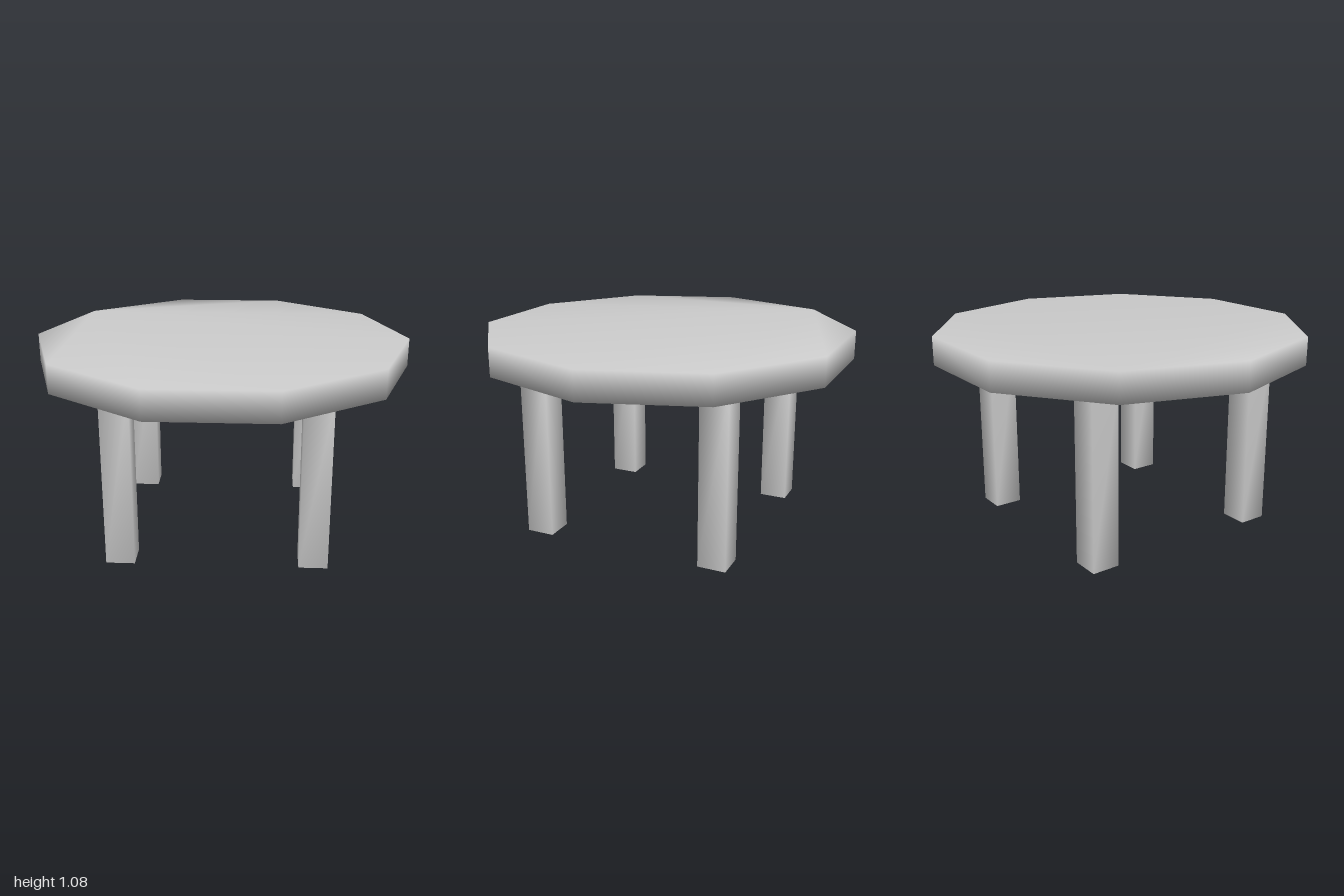
import * as THREE from 'three';
import { mergeVertices } from 'three/addons/utils/BufferGeometryUtils.js';

const SIDES = 10, TOP_Y = 1.075, UNDER_Y = 0.925;
const LEG_SIZE = 0.15, LEG_OFFSET = 0.5;

// Ten-sided slab with shared corners, so its normals blend across the rim
function slabGeometry() {
  const points = [], index = [];
  for (const y of [UNDER_Y, TOP_Y]) {
    for (let i = 0; i < SIDES; i++) {
      const a = (i / SIDES) * Math.PI * 2;
      points.push(Math.cos(a), y, Math.sin(a));
    }
  }
  const fan = 6; // corner from which both caps fan out
  const under = (i) => i % SIDES;
  const upper = (i) => SIDES + (i % SIDES);
  for (let k = 1; k < SIDES - 1; k++) {
    index.push(upper(fan), upper(fan + k + 1), upper(fan + k));
    index.push(under(fan), under(fan + k), under(fan + k + 1));
  }
  for (let i = 0; i < SIDES; i++) {
    index.push(under(i), upper(i), upper(i + 1));
    index.push(under(i), upper(i + 1), under(i + 1));
  }
  const geometry = new THREE.BufferGeometry();
  geometry.setAttribute('position', new THREE.Float32BufferAttribute(points, 3));
  geometry.setIndex(index);
  geometry.computeVertexNormals();
  return geometry;
}

// Square post with smoothed corners, standing on the ground
function legGeometry() {
  const box = new THREE.BoxGeometry(LEG_SIZE, UNDER_Y, LEG_SIZE);
  box.translate(0, UNDER_Y / 2, 0);
  box.deleteAttribute('normal');
  box.deleteAttribute('uv');
  const geometry = mergeVertices(box);
  geometry.computeVertexNormals();
  return geometry;
}

export function createModel() {
  const table = new THREE.Group();
  table.name = 'table';
  const grey = new THREE.MeshStandardMaterial({ color: 0xcccccc });
  grey.name = 'light grey';

  const top = new THREE.Mesh(slabGeometry(), grey);
  top.name = 'tableTop';
  table.add(top);

  // Four legs on a square
  const legShape = legGeometry();
  for (const [xName, x] of [['Left', 1], ['Right', -1]]) {
    for (const [zName, z] of [['front', 1], ['back', -1]]) {
      const leg = new THREE.Mesh(legShape, grey);
      leg.name = `${zName}${xName}Leg`;
      leg.position.set(x * LEG_OFFSET, 0, z * LEG_OFFSET);
      table.add(leg);
    }
  }
  return table;
}
